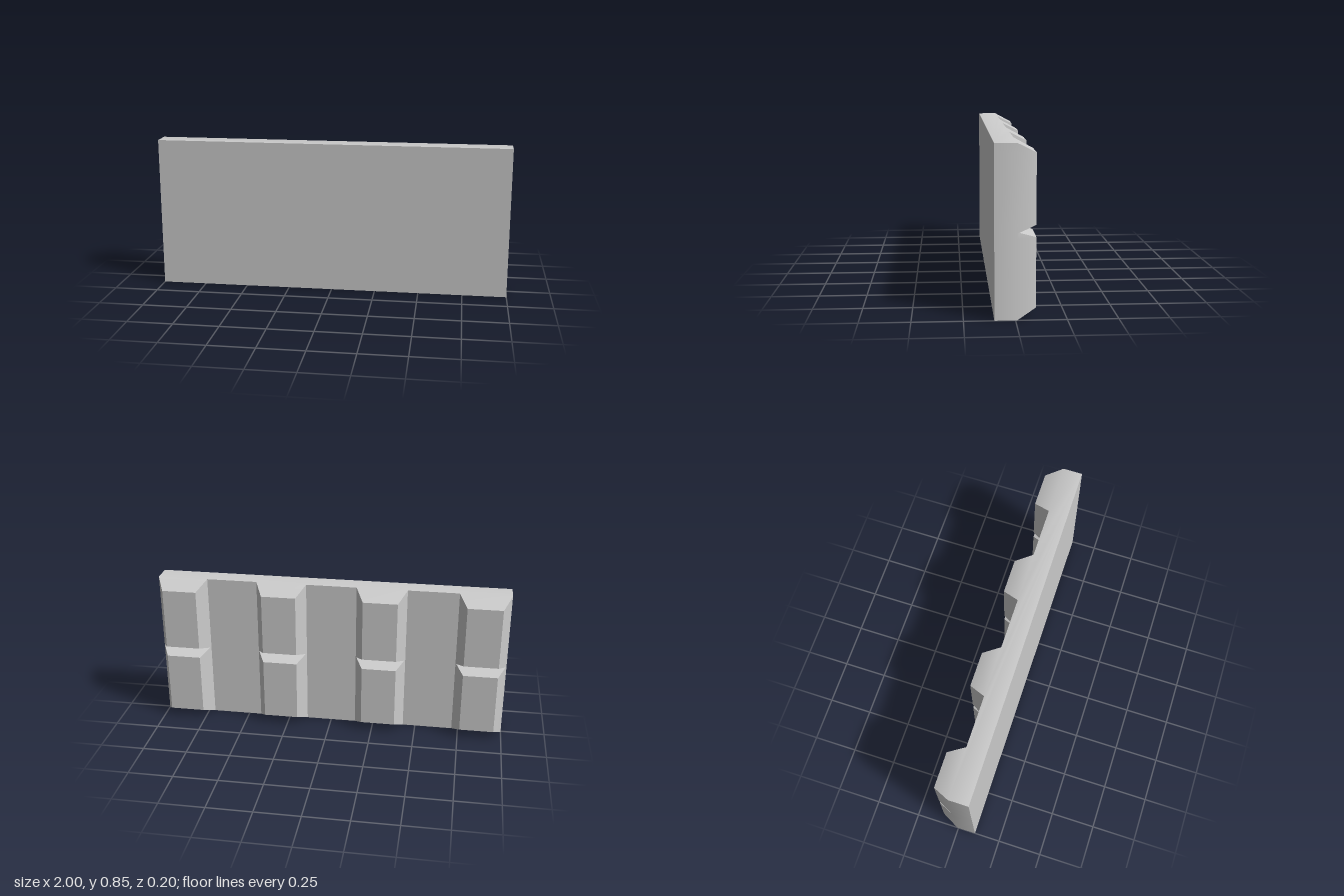
import * as THREE from 'three';
import { toCreasedNormals } from 'three/addons/utils/BufferGeometryUtils.js';

const FRONT = 0.102, VALLEY = -0.008, RIB = 0.094; // plate front, plate back, rib height
const PITCH = 4 / 7, WIDTH = 2 / 7, SLANT = 0.046; // rib spacing, base width, side slope

// Height of each cross-section and how far the ribs stand out there (0 to 1)
const levels = [
  [0, 0], [0.049, 1], [0.397, 1],
  [0.4265, 0.11], // groove between the two courses
  [0.456, 1], [0.804, 1], [0.853, 0],
];

// Counter-clockwise outline seen from above: flat front, four trapezoid ribs behind
function outline([y, t]) {
  const ring = [new THREE.Vector3(1, y, FRONT)];
  for (let i = 0; i < 4; i++) {
    const x1 = 1 - i * PITCH, x0 = x1 - WIDTH;
    const z = VALLEY - RIB * t, inset = SLANT * t;
    ring.push(
      new THREE.Vector3(x1, y, VALLEY),
      new THREE.Vector3(x1 - inset, y, z),
      new THREE.Vector3(x0 + inset, y, z),
      new THREE.Vector3(x0, y, VALLEY),
    );
  }
  ring.push(new THREE.Vector3(-1, y, FRONT));
  return ring;
}

function panelGeometry() {
  const rings = levels.map(outline);
  const positions = [];
  const tri = (a, b, c) => {
    // Skip triangles that collapse where the ribs run out
    if (new THREE.Triangle(a, b, c).getArea() < 1e-7) return;
    for (const p of [a, b, c]) positions.push(p.x, p.y, p.z);
  };
  const n = rings[0].length;

  // Walls between neighbouring cross-sections
  for (let j = 0; j < rings.length - 1; j++) {
    const low = rings[j], high = rings[j + 1];
    for (let i = 0; i < n; i++) {
      const k = (i + 1) % n;
      tri(low[i], low[k], high[k]);
      tri(low[i], high[k], high[i]);
    }
  }

  // Flat bottom and top
  const bottom = rings[0], top = rings[rings.length - 1];
  for (let i = 1; i < n - 1; i++) {
    tri(bottom[0], bottom[i + 1], bottom[i]);
    tri(top[0], top[i], top[i + 1]);
  }

  const geometry = new THREE.BufferGeometry();
  geometry.setAttribute('position', new THREE.Float32BufferAttribute(positions, 3));
  return toCreasedNormals(geometry, 0.55);
}

export function createModel() {
  const group = new THREE.Group();
  group.name = 'ribbedWallPanel';
  const panel = new THREE.Mesh(
    panelGeometry(),
    new THREE.MeshStandardMaterial({ color: 0xcccccc }),
  );
  panel.name = 'panel';
  group.add(panel);
  return group;
}
